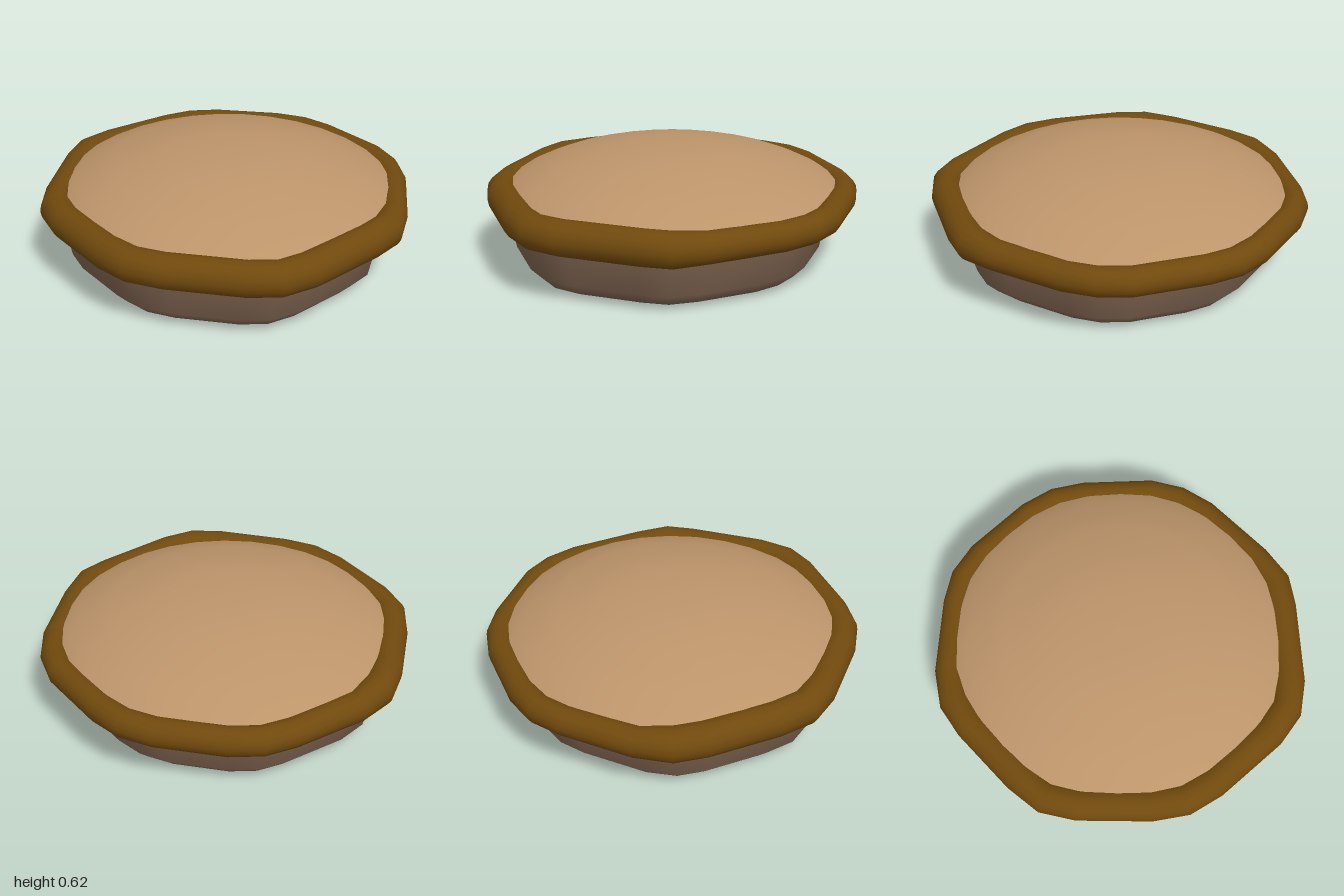
import * as THREE from 'three';

// Outer plan of the hand-rolled crust, [x, z], running from the back towards +x
const OUTLINE = [
  [-0.01, -0.99], [0.17, -0.96], [0.53, -0.83], [0.68, -0.72], [0.79, -0.57], [0.95, -0.20],
  [1.00, -0.01], [0.965, 0.16], [0.83, 0.56], [0.73, 0.725], [0.57, 0.825], [0.18, 0.96],
  [-0.01, 0.99], [-0.20, 0.95], [-0.56, 0.80], [-0.72, 0.69], [-0.82, 0.515], [-0.96, 0.16],
  [-1.00, -0.02], [-0.96, -0.22], [-0.79, -0.575], [-0.69, -0.72], [-0.54, -0.825], [-0.195, -0.96],
].map(([x, z]) => new THREE.Vector2(x, z));
const N = OUTLINE.length;

// Smooth surface over a grid of points that closes around the plan (and optionally across it)
function loft(rows, closed, pointAt) {
  const pos = [], idx = [];
  for (let j = 0; j < rows; j++) for (let i = 0; i < N; i++) pos.push(...pointAt(i, j));
  for (let j = 0; j < (closed ? rows : rows - 1); j++) {
    for (let i = 0; i < N; i++) {
      const a = j * N + i, b = j * N + (i + 1) % N;
      const k = ((j + 1) % rows) * N;
      const c = k + (i + 1) % N, d = k + i;
      idx.push(a, d, b, b, d, c);
    }
  }
  const g = new THREE.BufferGeometry();
  g.setAttribute('position', new THREE.Float32BufferAttribute(pos, 3));
  g.setIndex(idx);
  g.computeVertexNormals();
  return g;
}

function part(name, geometry, color) {
  const mesh = new THREE.Mesh(geometry, new THREE.MeshStandardMaterial({ color, side: THREE.DoubleSide }));
  mesh.name = name;
  return mesh;
}

export function createModel() {
  const pie = new THREE.Group();
  pie.name = 'pie';

  // Dish: rounded base and flared wall following the crust's plan
  const wall = [[0.001, 0], [0.35, 0], [0.62, 0.002], [0.77, 0.025], [0.835, 0.09], [0.87, 0.27], [0.88, 0.36]];
  pie.add(part('dish', loft(wall.length, false, (i, j) => {
    const [r, y] = wall[j];
    return [OUTLINE[i].x * r, y, OUTLINE[i].y * r + 0.02];
  }), 0x7a614e));

  // Crust: round roll along the plan, a little thinner at the back
  const sides = 16;
  pie.add(part('crust', loft(sides, true, (i, j) => {
    const p = OUTLINE[i];
    const radius = 0.09 - 0.015 * THREE.MathUtils.smoothstep(-p.y, 0, 0.3);
    const t = OUTLINE[(i + 1) % N].clone().sub(OUTLINE[(i + N - 1) % N]).normalize();
    const a = (j / sides) * Math.PI * 2;
    const inset = radius * (Math.cos(a) - 1);
    return [p.x + t.y * inset, 0.36 + radius * Math.sin(a), p.y - t.x * inset];
  }), 0x70490d));

  // Filling: shallow dome tucked into the crust
  const dome = [[0.9, 0.4], [0.82, 0.45], [0.7, 0.503], [0.6, 0.537], [0.4, 0.587], [0.2, 0.613], [0, 0.62]];
  const curve = new THREE.SplineCurve(dome.map(([r, y]) => new THREE.Vector2(r, y)));
  pie.add(part('filling', new THREE.LatheGeometry(curve.getPoints(16), 32), 0xbc946a));

  return pie;
}
